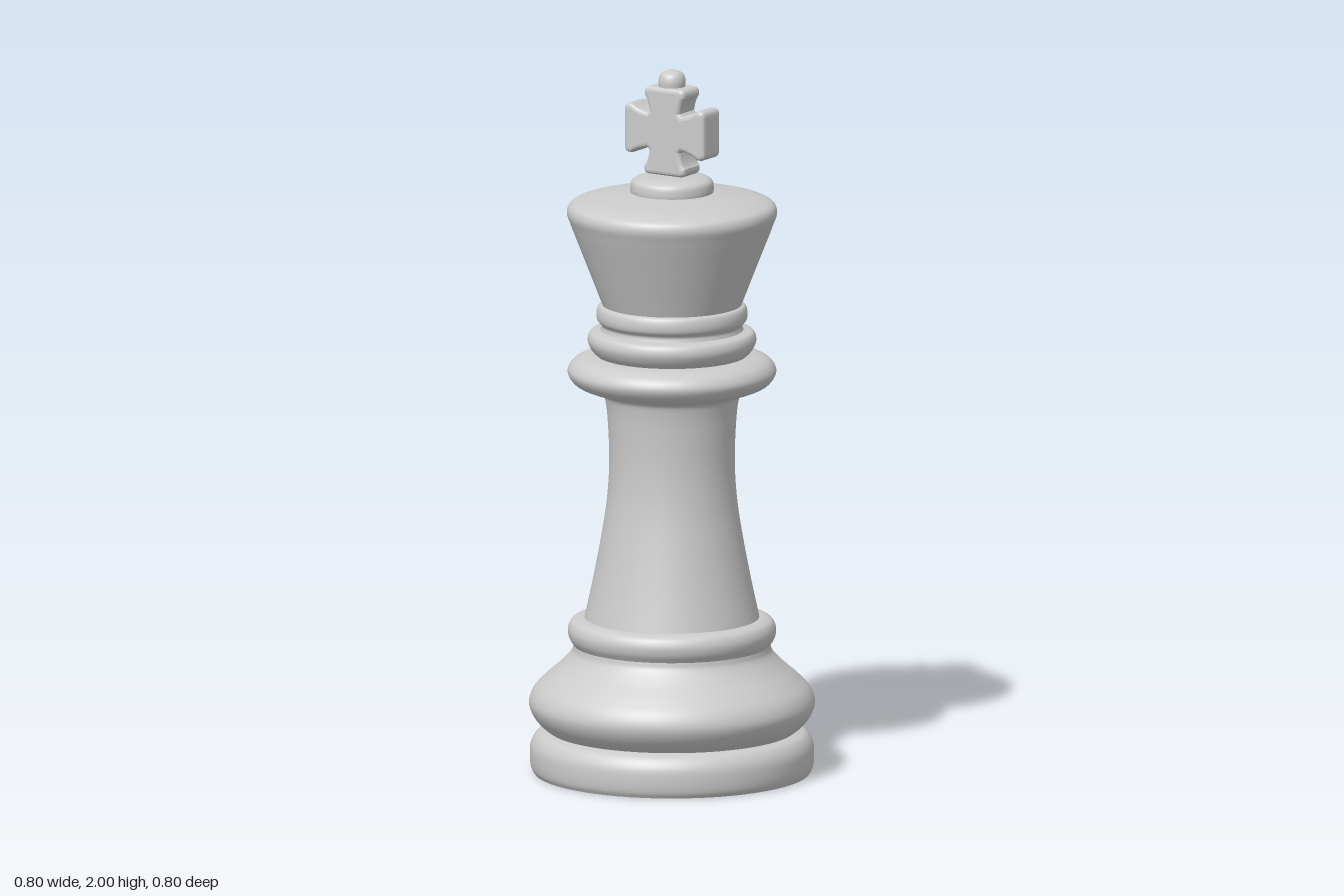
import * as THREE from 'three';

const material = new THREE.MeshStandardMaterial({ color: 0xcccccc, side: THREE.DoubleSide });

// Turned part: a smooth spline through [radius, height] points, revolved around y
function turned(name, points, samples = points.length * 5) {
  const curve = new THREE.CatmullRomCurve3(
    points.map(([r, y]) => new THREE.Vector3(r, y, 0)), false, 'centripetal');
  const profile = curve.getPoints(samples).map(p => new THREE.Vector2(Math.max(p.x, 0), p.y));
  const mesh = new THREE.Mesh(new THREE.LatheGeometry(profile, 72), material);
  mesh.name = name;
  return mesh;
}

// Cross outline: one flared arm per side, joined by concave corners
function crossShape() {
  const cy = 1.83;
  const inner = 0.056;
  const arms = [ // direction, half width of the flared tip, reach
    [0, 0.066, 0.125], [1, 0.07, 0.133], [2, 0.068, 0.125], [3, 0.07, 0.133],
  ];
  const shape = new THREE.Shape();
  arms.forEach(([turn, half, reach], i) => {
    const a = -turn * Math.PI / 2 + Math.PI / 2;
    const at = (along, side) => [
      Math.cos(a) * along + Math.sin(a) * side,
      cy + Math.sin(a) * along - Math.cos(a) * side,
    ];
    if (i === 0) shape.moveTo(...at(inner, -inner + 0.006));
    else shape.lineTo(...at(inner, -inner + 0.006));
    shape.quadraticCurveTo(...at(0.09, -inner), ...at(reach - 0.025, -half));
    shape.quadraticCurveTo(...at(reach, -half - 0.004), ...at(reach, -half + 0.018));
    shape.lineTo(...at(reach, half - 0.018));
    shape.quadraticCurveTo(...at(reach, half + 0.004), ...at(reach - 0.025, half));
    shape.quadraticCurveTo(...at(0.09, inner), ...at(inner, inner - 0.006));
  });
  shape.closePath();
  return shape;
}

export function createModel() {
  const group = new THREE.Group();

  // Underside and foot
  const underside = new THREE.Mesh(new THREE.CircleGeometry(0.386, 72), material);
  underside.rotation.x = Math.PI / 2;
  underside.name = 'underside';
  group.add(underside);
  group.add(turned('foot', [
    [0.386, 0], [0.394, 0.015], [0.398, 0.05], [0.394, 0.085], [0.375, 0.112], [0.345, 0.122],
  ]));

  // Wide bulge sweeping up to the lower ring
  group.add(turned('baseBulge', [
    [0.345, 0.12], [0.37, 0.14], [0.392, 0.17], [0.4, 0.2], [0.388, 0.235],
    [0.355, 0.27], [0.31, 0.31], [0.28, 0.345], [0.275, 0.365],
  ]));
  group.add(turned('lowerRing', [
    [0.275, 0.363], [0.288, 0.385], [0.291, 0.41], [0.28, 0.432], [0.255, 0.441], [0.235, 0.441],
  ]));

  // Waisted column
  group.add(turned('column', [
    [0.245, 0.438], [0.223, 0.54], [0.2, 0.66], [0.183, 0.77], [0.176, 0.87],
    [0.178, 0.97], [0.185, 1.05], [0.193, 1.078], [0.215, 1.09],
  ]));

  // Collar and neck rings
  group.add(turned('collar', [
    [0.19, 1.083], [0.235, 1.093], [0.275, 1.112], [0.292, 1.142], [0.28, 1.168],
    [0.25, 1.184], [0.21, 1.19],
  ]));
  group.add(turned('neckRing', [
    [0.205, 1.185], [0.225, 1.205], [0.236, 1.232], [0.228, 1.255], [0.2, 1.262],
  ]));
  group.add(turned('upperNeckRing', [
    [0.2, 1.26], [0.197, 1.275], [0.209, 1.29], [0.211, 1.312], [0.204, 1.33], [0.185, 1.335],
  ]));

  // Flared head with a gently domed top
  group.add(turned('head', [
    [0.195, 1.333], [0.215, 1.385], [0.25, 1.475], [0.283, 1.56], [0.294, 1.595],
    [0.286, 1.617], [0.25, 1.632], [0.18, 1.645], [0.1, 1.655], [0, 1.657],
  ]));

  // Seat of the cross
  group.add(turned('crossSeat', [
    [0.115, 1.645], [0.117, 1.665], [0.112, 1.686], [0.09, 1.697], [0, 1.7],
  ]));

  // Cross with softened edges
  const bevel = 0.012;
  const crossGeometry = new THREE.ExtrudeGeometry(crossShape(), {
    depth: 0.09 - 2 * bevel, curveSegments: 6,
    bevelEnabled: true, bevelThickness: bevel, bevelSize: bevel, bevelOffset: -bevel, bevelSegments: 3,
  });
  crossGeometry.translate(0, 0, -0.045 + bevel);
  const cross = new THREE.Mesh(crossGeometry, material);
  cross.name = 'cross';
  group.add(cross);

  // Small knob on top of the cross
  group.add(turned('knob', [
    [0.036, 1.945], [0.038, 1.972], [0.032, 1.989], [0.018, 1.998], [0, 2],
  ]));

  return group;
}
